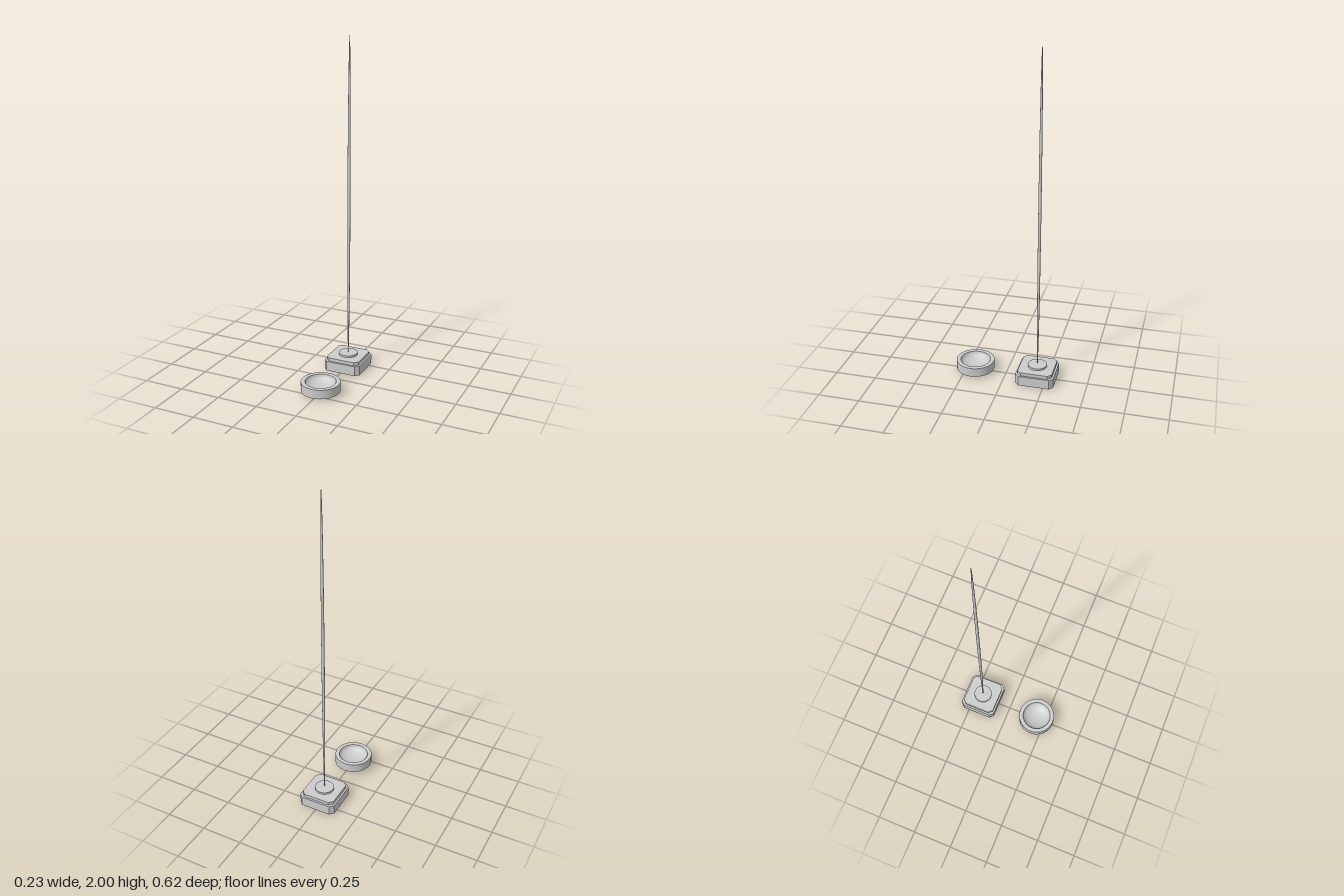
import * as THREE from 'three';
import { toCreasedNormals } from 'three/addons/utils/BufferGeometryUtils.js';

const material = new THREE.MeshStandardMaterial({ color: 0xcccccc });

function part(name, geometry, x, y, z) {
  const mesh = new THREE.Mesh(geometry, material);
  mesh.name = name;
  mesh.position.set(x, y, z);
  return mesh;
}

// Square slab with cut corners, standing on y = 0
function chamferedSlab(half, cut, height) {
  const a = half, b = half - cut;
  const outline = [[a, -b], [a, b], [b, a], [-b, a], [-a, b], [-a, -b], [-b, -a], [b, -a]];
  const shape = new THREE.Shape(outline.map(([x, y]) => new THREE.Vector2(x, y)));
  return new THREE.ExtrudeGeometry(shape, { depth: height, bevelEnabled: false }).rotateX(-Math.PI / 2);
}

// Round dish: flat underside, straight wall, flat rim, rounded hollow
function dishGeometry(outer, inner, height, depth) {
  const profile = [[0, 0], [outer, 0], [outer, height], [inner, height]];
  for (let i = 1; i <= 12; i++) {
    const t = (i / 12) * Math.PI / 2;
    profile.push([i === 12 ? 0 : inner * Math.cos(t), height - depth * Math.sin(t)]);
  }
  const points = profile.map(([x, y]) => new THREE.Vector2(x, y));
  return toCreasedNormals(new THREE.LatheGeometry(points, 32), 0.7);
}

export function createModel() {
  const model = new THREE.Group();
  model.name = 'needleAndDish';

  // Stepped base with a round collar and the tall tapering needle
  const stand = new THREE.Group();
  stand.name = 'needleStand';
  stand.position.z = -0.194;
  stand.add(
    part('basePlinth', chamferedSlab(0.115, 0.023, 0.06), 0, 0, 0),
    part('baseStep', chamferedSlab(0.104, 0.023, 0.02), 0, 0.06, 0),
    part('collar', new THREE.CylinderGeometry(0.057, 0.057, 0.012, 32), 0, 0.086, 0),
    part('needle', new THREE.SphereGeometry(1, 16, 32).scale(0.009, 0.957, 0.009), 0, 1.043, 0),
  );
  model.add(stand);

  // Separate dish in front
  model.add(part('dish', dishGeometry(0.115, 0.09, 0.055, 0.045), 0, 0.015, 0.192));
  return model;
}
